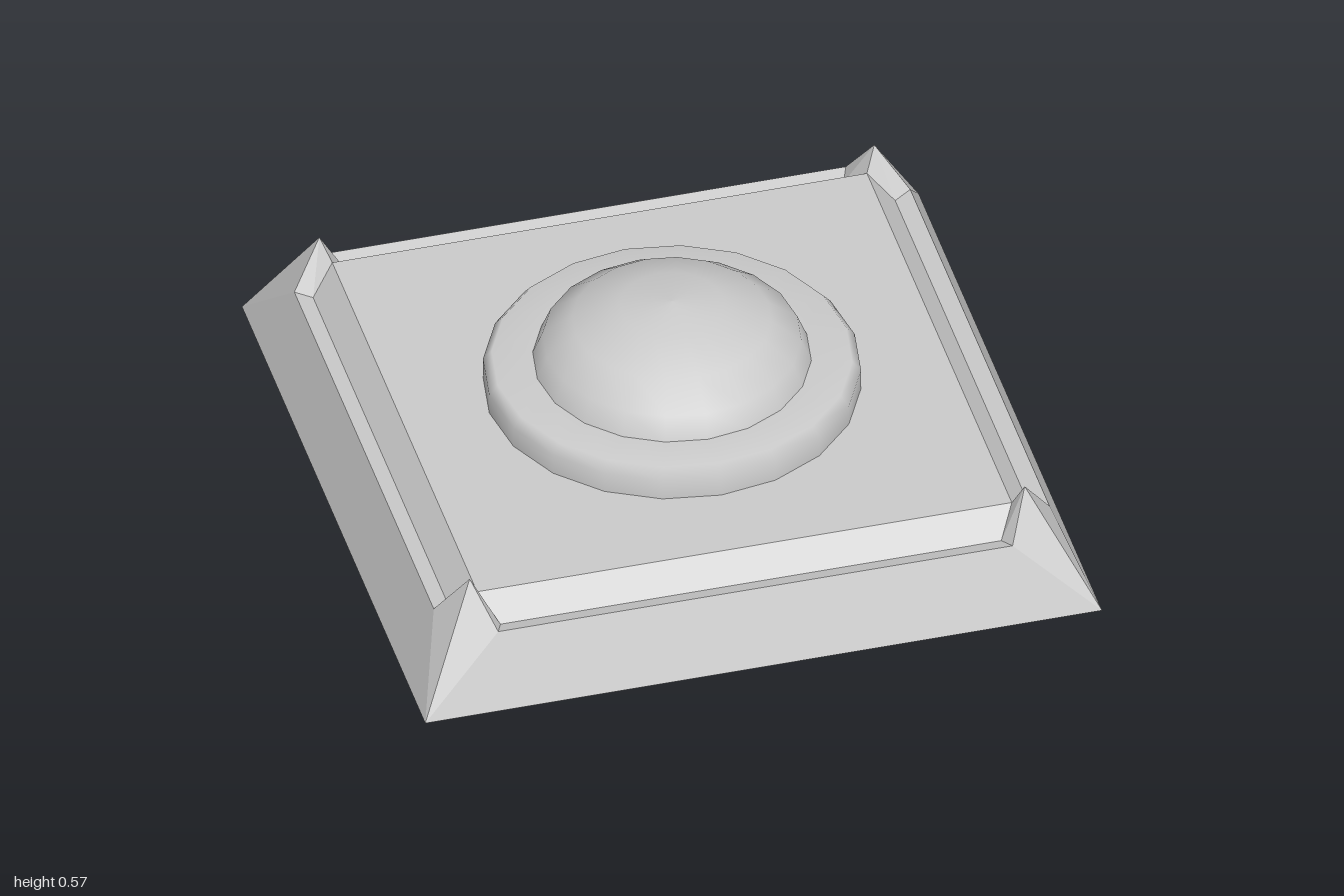
import * as THREE from 'three';

export function createModel() {
  const model = new THREE.Group();
  const material = new THREE.MeshStandardMaterial({ color: 0xcccccc });
  const add = (name, geometry) => {
    const mesh = new THREE.Mesh(geometry, material);
    mesh.name = name;
    model.add(mesh);
    return mesh;
  };

  // Corner points of one side, given for the +x end (s = 1) or the -x end (s = -1)
  const foot = s => [s, 0, 1];
  const rim = s => [s * 0.76, 0.215, 0.91];
  const groove = s => [s * 0.74, 0.2, 0.86];
  const deck = s => [s * 0.79, 0.275, 0.79];
  const peak = s => [s * 0.82, 0.35, 0.82];

  // Flat-sided solid from convex polygons, each fanned into triangles
  const fromPolygons = polygons => {
    const positions = [];
    for (const p of polygons)
      for (let i = 1; i < p.length - 1; i++) positions.push(...p[0], ...p[i], ...p[i + 1]);
    const geometry = new THREE.BufferGeometry();
    geometry.setAttribute('position', new THREE.Float32BufferAttribute(positions, 3));
    geometry.computeVertexNormals();
    return geometry;
  };

  // One side: outer wall, shallow groove, bevel up to the deck, and half a spike at each end
  const side = fromPolygons([
    [foot(-1), foot(1), rim(1), rim(-1)],
    [foot(1), peak(1), rim(1)],
    [foot(-1), rim(-1), peak(-1)],
    [rim(-1), rim(1), groove(1), groove(-1)],
    [groove(-1), groove(1), deck(1), deck(-1)],
    [rim(1), peak(1), groove(1)],
    [groove(1), peak(1), deck(1)],
    [rim(-1), groove(-1), peak(-1)],
    [groove(-1), deck(-1), peak(-1)],
  ]);
  ['frontSide', 'leftSide', 'backSide', 'rightSide'].forEach((name, i) => {
    add(name, side).rotation.y = i * Math.PI / 2;
  });

  // Flat deck and underside
  const deckMesh = add('deck', new THREE.PlaneGeometry(1.58, 1.58));
  deckMesh.rotation.x = -Math.PI / 2;
  deckMesh.position.y = 0.275;
  add('underside', new THREE.PlaneGeometry(2, 2)).rotation.x = Math.PI / 2;

  // Round collar and dome
  const lathe = points =>
    new THREE.LatheGeometry(points.map(([r, y]) => new THREE.Vector2(r, y)), 20);
  add('collar', lathe([[0.54, 0.27], [0.54, 0.34], [0.515, 0.37], [0.38, 0.37]]));
  add('dome', lathe([[0.4, 0.365], [0.37, 0.44], [0.285, 0.507], [0.15, 0.557], [0, 0.57]]));

  return model;
}
